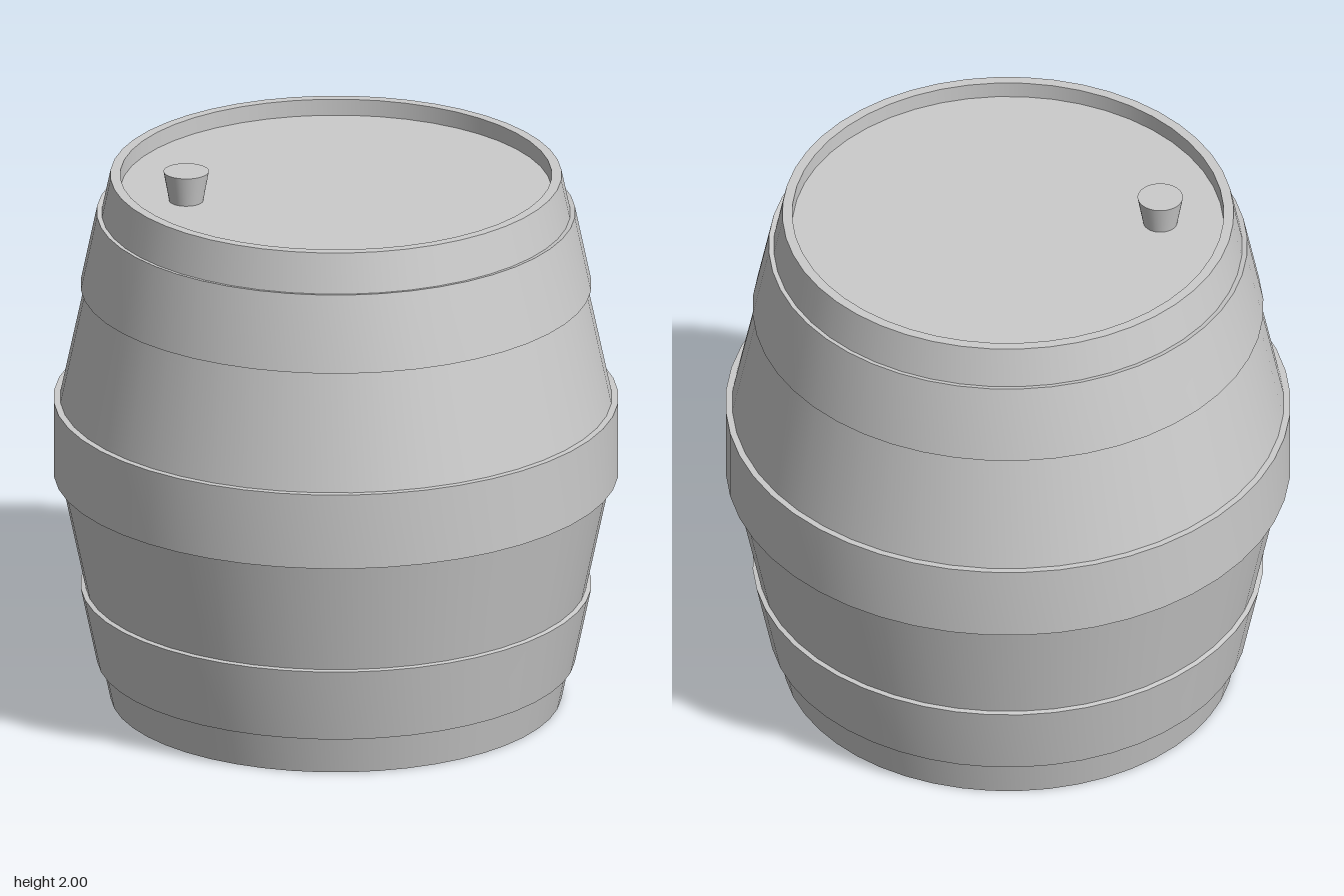
import * as THREE from 'three';
import { toCreasedNormals } from 'three/addons/utils/BufferGeometryUtils.js';

const SIDES = 48;

export function createModel() {
  const barrel = new THREE.Group();
  barrel.name = 'barrel';
  const material = new THREE.MeshStandardMaterial({ color: 0xcccccc });

  const add = (name, geometry) => {
    const mesh = new THREE.Mesh(geometry, material);
    mesh.name = name;
    barrel.add(mesh);
    return mesh;
  };

  // Closed ring from a profile running up the outside and down the inside;
  // smooth around the axis, sharp at the profile corners
  const ring = (name, profile) => {
    const points = [...profile, profile[0]].map(([r, y]) => new THREE.Vector2(r, y));
    return add(name, toCreasedNormals(new THREE.LatheGeometry(points, SIDES), 0.18));
  };

  // Body with a straight bore, open at the bottom, with a raised rim at the top
  ring('body', [
    [0.795, 0], [0.975, 0.86], [0.975, 1.1], [0.795, 1.95],
    [0.76, 1.95], [0.76, 0],
  ]);

  // Hoops: tapered lower and upper ones, straight middle one
  ring('lowerHoop', [[0.843, 0.141], [0.9, 0.415], [0.876, 0.419], [0.82, 0.145]]);
  ring('middleHoop', [[0.995, 0.838], [0.995, 1.115], [0.965, 1.115], [0.965, 0.838]]);
  ring('upperHoop', [[0.9, 1.536], [0.843, 1.81], [0.82, 1.806], [0.876, 1.532]]);

  // Lid, sunk below the rim
  const lid = add('lid', new THREE.CylinderGeometry(0.762, 0.762, 0.02, SIDES));
  lid.position.y = 1.88;

  // Tapered bung in the lid
  const bung = add('bung', new THREE.CylinderGeometry(0.08, 0.06, 0.11, 32));
  bung.position.set(-0.328, 1.945, 0.425);

  return barrel;
}
